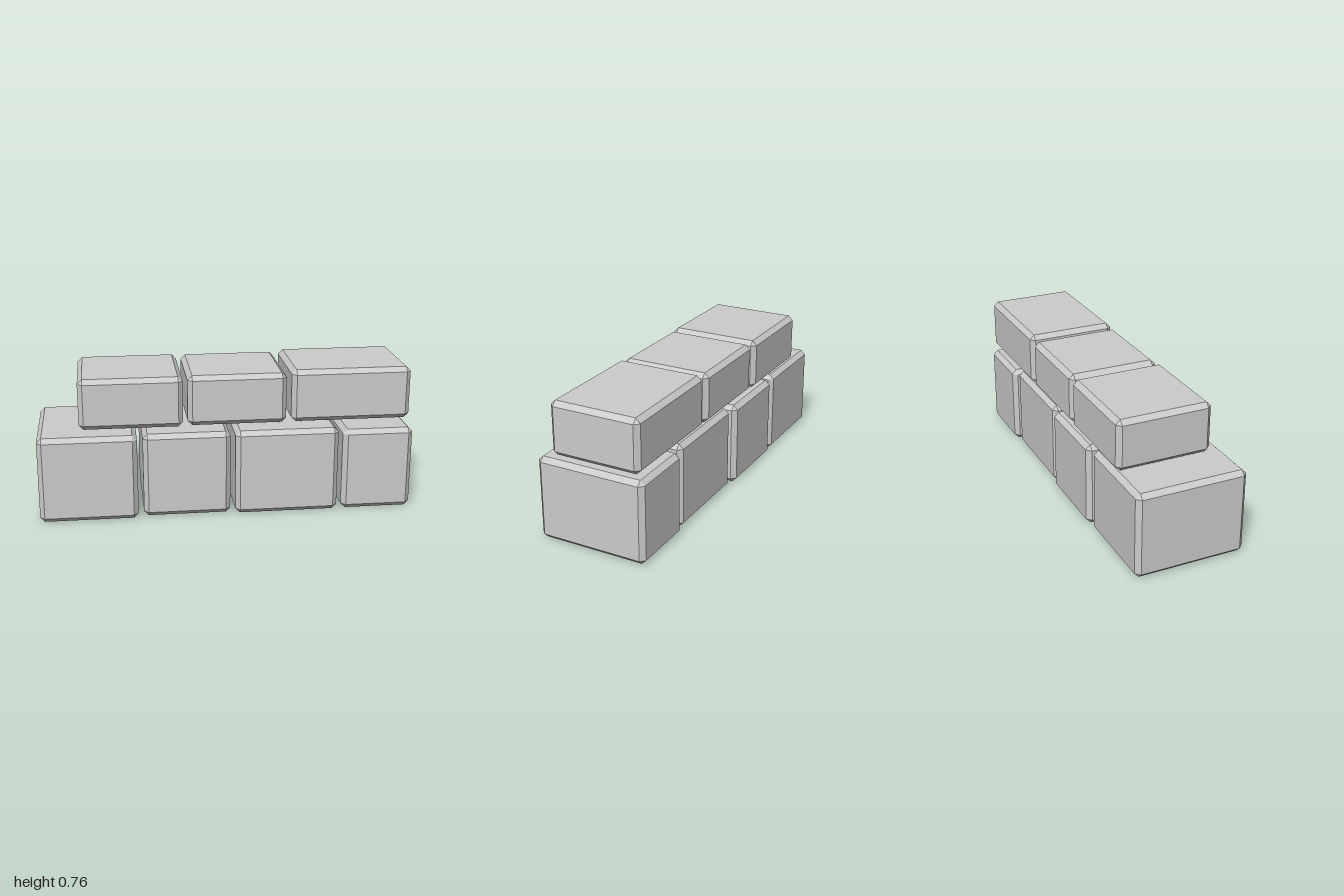
import * as THREE from 'three';
import { ConvexGeometry } from 'three/addons/geometries/ConvexGeometry.js';

const BEVEL = 0.025;

// Box with flat chamfers on all edges and a triangle on each corner
function chamferedBox(w, h, d, b) {
  const points = [];
  for (const sx of [-1, 1]) for (const sy of [-1, 1]) for (const sz of [-1, 1]) {
    const x = w / 2, y = h / 2, z = d / 2;
    points.push(
      new THREE.Vector3(sx * x, sy * (y - b), sz * (z - b)),
      new THREE.Vector3(sx * (x - b), sy * y, sz * (z - b)),
      new THREE.Vector3(sx * (x - b), sy * (y - b), sz * z)
    );
  }
  return new ConvexGeometry(points);
}

export function createModel() {
  const model = new THREE.Group();
  model.name = 'stoneWall';
  const material = new THREE.MeshStandardMaterial({ color: 0xcccccc, flatShading: true });

  // Each stone: x min, x max, top, z min, z max
  const courses = [
    { name: 'lowerCourse', base: 0, stones: [
      [-1, -0.48, 0.465, -0.295, 0.305],
      [-0.45, 0.015, 0.46, -0.305, 0.28],
      [0.04, 0.595, 0.465, -0.287, 0.3],
      [0.62, 1, 0.45, -0.305, 0.295],
    ] },
    { name: 'upperCourse', base: 0.477, stones: [
      [-0.78, -0.23, 0.75, -0.295, 0.22],
      [-0.205, 0.325, 0.75, -0.288, 0.208],
      [0.353, 1, 0.763, -0.287, 0.205],
    ] },
  ];

  for (const { name, base, stones } of courses) {
    const course = new THREE.Group();
    course.name = name;
    stones.forEach(([x0, x1, top, z0, z1], i) => {
      const stone = new THREE.Mesh(chamferedBox(x1 - x0, top - base, z1 - z0, BEVEL), material);
      stone.name = `stone${i + 1}`;
      stone.position.set((x0 + x1) / 2, (base + top) / 2, (z0 + z1) / 2);
      course.add(stone);
    });
    model.add(course);
  }
  return model;
}
